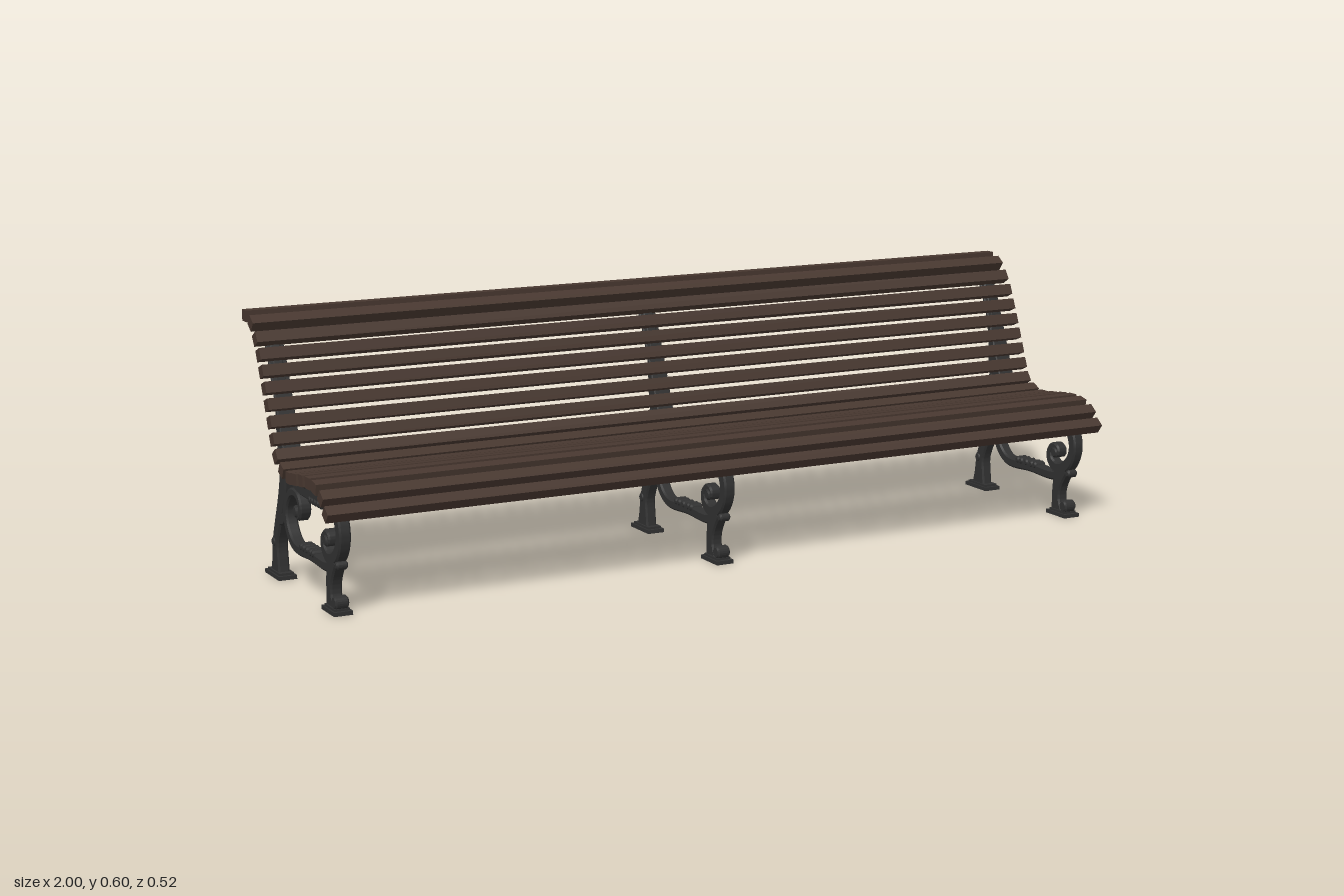
import * as THREE from 'three';
import { toCreasedNormals } from 'three/addons/utils/BufferGeometryUtils.js';

const iron = new THREE.MeshStandardMaterial({ color: 0x303030 });
const wood = new THREE.MeshStandardMaterial({ color: 0x47372f });

// Slat centres in thousandths, with tilt in degrees: [z, y, tilt]
const SLATS = [
  [243, 233, 38], [217, 262, 38], [180, 278, 12], [141, 281, 0], [101, 278, -6], [62, 273, -6],
  [22, 269, 0], [-21, 277, 26], [-57, 301, 54], [-74, 336, 67], [-88, 372, 69], [-102, 408, 69],
  [-116, 443, 68], [-131, 478, 67], [-146, 513, 66], [-165, 546, 58], [-192, 577, 36], [-231, 589, 0],
];

// Curved bar in the side plane through [z, y, halfWidth] (thousandths), with chamfered edges
function bar(name, points, depth = 0.027, perSpan = 7) {
  const curve = new THREE.CatmullRomCurve3(
    points.map(([z, y, w]) => new THREE.Vector3(w / 1000, y / 1000, z / 1000)), false, 'centripetal');
  const n = (points.length - 1) * perSpan;
  const pos = [], idx = [], d = depth / 2;
  for (let i = 0; i <= n; i++) {
    const p = curve.getPoint(i / n), t = curve.getTangent(i / n);
    const len = Math.hypot(t.y, t.z), ny = -t.z / len, nz = t.y / len;
    const w = p.x, c = Math.min(0.004, w * 0.5);
    const ring = [[w, -d + c], [w, d - c], [w - c, d], [c - w, d], [-w, d - c], [-w, c - d], [c - w, -d], [w - c, -d]];
    for (const [a, x] of ring) pos.push(x, p.y + ny * a, p.z + nz * a);
  }
  for (let i = 0; i < n; i++) {
    for (let j = 0; j < 8; j++) {
      const a = i * 8 + j, b = i * 8 + (j + 1) % 8;
      idx.push(a, b, a + 8, b, b + 8, a + 8);
    }
  }
  for (let j = 1; j < 7; j++) idx.push(0, j + 1, j, n * 8, n * 8 + j, n * 8 + j + 1);
  const geo = new THREE.BufferGeometry();
  geo.setAttribute('position', new THREE.Float32BufferAttribute(pos, 3));
  geo.setIndex(idx);
  const mesh = new THREE.Mesh(toCreasedNormals(geo, 0.5), iron);
  mesh.name = name;
  return mesh;
}

// Round boss lying across the frame
function boss(name, z, y, r, depth = 0.027) {
  const h = depth / 2, c = 0.004, k = r / 1000;
  const profile = [[0, -h], [k - c, -h], [k, c - h], [k, h - c], [k - c, h], [0, h]];
  const geo = new THREE.LatheGeometry(profile.map(([a, b]) => new THREE.Vector2(a, b)), 20);
  const mesh = new THREE.Mesh(toCreasedNormals(geo, 0.5), iron);
  mesh.name = name;
  mesh.rotation.z = Math.PI / 2;
  mesh.position.set(0, y / 1000, z / 1000);
  return mesh;
}

function box(name, w, h, d, y, z, material) {
  const mesh = new THREE.Mesh(new THREE.BoxGeometry(w, h, d), material);
  mesh.name = name;
  mesh.position.set(0, y, z);
  return mesh;
}

function createFrame() {
  const g = new THREE.Group();
  g.name = 'ironFrame';

  // Rear leg running up into the back post and its top curl
  g.add(bar('backPost', [
    [-176, 8, 27], [-174, 37, 21], [-172, 80, 16], [-154, 126, 17], [-128, 180, 20], [-113, 233, 19],
    [-109, 276, 21], [-113, 313, 25], [-121, 349, 23], [-131, 397, 16], [-141, 437, 12], [-154, 478, 10],
    [-170, 515, 10], [-190, 547, 9], [-213, 564, 9], [-236, 562, 10], [-247, 544, 9], [-239, 530, 9],
  ]));
  g.add(boss('topCurl', -238, 538, 22, 0.03));

  // Seat rail, turning down at the front into a scroll
  g.add(bar('seatRail', [
    [-117, 335, 14], [-92, 287, 16], [-63, 258, 15], [-24, 240, 15], [29, 238, 17], [83, 242, 19],
    [133, 247, 20], [172, 244, 18], [204, 224, 16], [222, 183, 14], [213, 147, 14], [187, 122, 15],
    [154, 117, 14], [131, 133, 12], [129, 156, 10], [146, 169, 9], [162, 163, 8], [163, 150, 6],
  ]));
  g.add(boss('frontScrollEye', 153, 154, 13, 0.034));

  // Rear scroll continuing into the lower rail
  g.add(bar('lowerRail', [
    [-33, 169, 7], [-19, 169, 8], [-9, 188, 9], [-21, 212, 10], [-49, 219, 10], [-81, 206, 11],
    [-103, 169, 12], [-90, 126, 12], [-53, 97, 12], [47, 97, 12], [154, 97, 12], [181, 115, 12],
  ]));
  g.add(boss('rearScrollEye', -29, 180, 14, 0.034));
  g.add(bar('scrollBracket', [[-104, 160, 8], [-118, 145, 14], [-140, 140, 16]]));

  // Front leg with its toe ball
  g.add(bar('frontLeg', [[187, 120, 20], [170, 95, 20], [161, 65, 16], [160, 37, 16], [165, 10, 22]]));
  g.add(boss('toeBall', 195, 26, 15, 0.032));
  g.add(boss('frontSpur', 206, 110, 10));

  // Small cast ornaments on the post and rails
  for (const [z, y, r] of [[-138, 362, 12], [-136, 322, 9], [-127, 295, 13], [-178, 80, 12]]) {
    g.add(boss('postOrnament', z, y, r, 0.032));
  }
  for (const z of [-3, 12, 33, 55, 70]) g.add(boss('lowerRailOrnament', z, 106, 9, 0.032));
  for (const z of [60, 75, 92, 109, 125]) g.add(boss('seatRailOrnament', z, 225, 9, 0.032));

  // Wider strip that carries the slats
  const strip = SLATS.slice(1, -1).map(([z, y, tilt]) => {
    const a = THREE.MathUtils.degToRad(tilt);
    return [z - Math.sin(a) * 18, y - Math.cos(a) * 18, 5];
  });
  g.add(bar('slatSupport', strip, 0.042, 3));

  // Stepped foot plates
  for (const [z, d] of [[0.175, 0.077], [-0.174, 0.091]]) {
    g.add(box('footPlate', 0.043, 0.009, d, 0.0045, z, iron));
    g.add(box('footStep', 0.035, 0.006, d - 0.016, 0.011, z, iron));
  }
  return g;
}

export function createModel() {
  const model = new THREE.Group();
  model.name = 'bench';
  for (const x of [-0.952, -0.021, 0.952]) {
    const frame = createFrame();
    frame.position.x = x;
    model.add(frame);
  }
  SLATS.forEach(([z, y, tilt], i) => {
    const slat = box(i < 8 ? 'seatSlat' : 'backSlat', 2, 0.026, 0.026, y / 1000, z / 1000, wood);
    slat.rotation.x = THREE.MathUtils.degToRad(tilt);
    model.add(slat);
  });
  return model;
}
